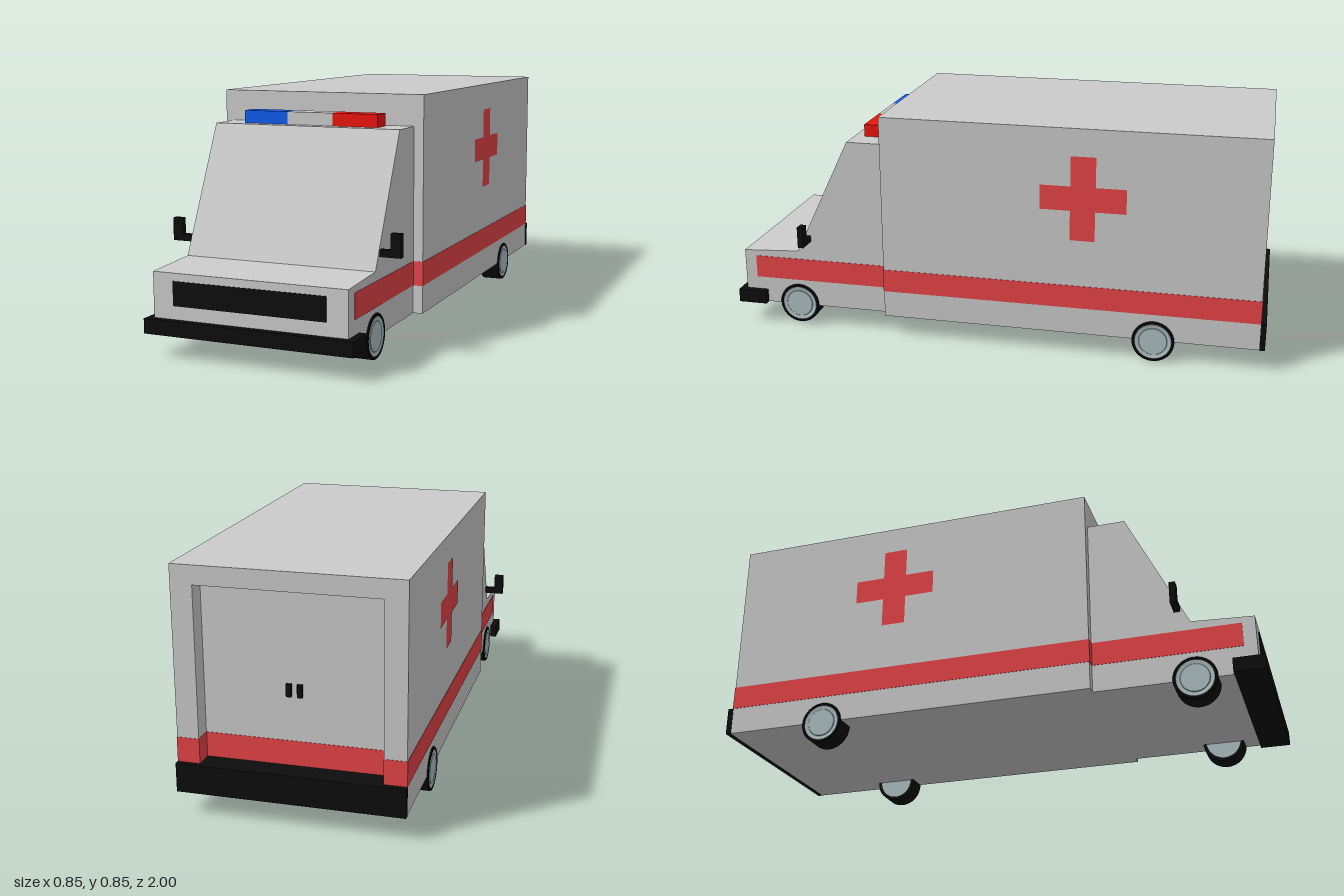
import * as THREE from 'three';

const mat = (color) => new THREE.MeshStandardMaterial({ color });

export function createModel() {
  const root = new THREE.Group();
  const grey = mat(0xcccccc), black = mat(0x0d0d0d), stripeRed = mat(0xe84448);
  const lampRed = mat(0xee150f), lampBlue = mat(0x0f5cee), steel = mat(0xafc0c3);

  const add = (name, geometry, material, parent = root) => {
    const mesh = new THREE.Mesh(geometry, material);
    mesh.name = name;
    parent.add(mesh);
    return mesh;
  };
  // Box given by its extents on each axis
  const box = (name, material, [x0, x1], [y0, y1], [z0, z1], parent) => {
    const mesh = add(name, new THREE.BoxGeometry(x1 - x0, y1 - y0, z1 - z0), material, parent);
    mesh.position.set((x0 + x1) / 2, (y0 + y1) / 2, (z0 + z1) / 2);
    return mesh;
  };
  const outline = (pts, Type = THREE.Shape) => new Type(pts.map(([x, y]) => new THREE.Vector2(x, y)));

  // Rear compartment, with a frame around the recessed doors
  box('rearCompartment', grey, [-0.385, 0.385], [0.08, 0.85], [-0.915, 0.405]);
  const frame = outline([[-0.385, 0.08], [0.385, 0.08], [0.385, 0.85], [-0.385, 0.85]]);
  frame.holes.push(outline([[-0.31, 0.17], [-0.31, 0.785], [0.31, 0.785], [0.31, 0.17]], THREE.Path));
  add('rearDoorFrame', new THREE.ExtrudeGeometry(frame, { depth: 0.065, bevelEnabled: false }), grey)
    .position.z = -0.98;

  // Cab: side profile extruded across the width
  const cabShape = outline([[-0.4, 0.08], [-0.4, 0.74], [-0.543, 0.74], [-0.757, 0.298],
    [-0.975, 0.286], [-0.975, 0.08]]);
  const cab = add('cab', new THREE.ExtrudeGeometry(cabShape, { depth: 0.7, bevelEnabled: false }), grey);
  cab.rotation.y = Math.PI / 2;
  cab.position.x = -0.35;

  // Grille and bumpers
  box('grille', black, [-0.275, 0.275], [0.176, 0.259], [0.96, 0.978]);
  box('frontBumper', black, [-0.375, 0.375], [0.079, 0.13], [0.89, 1]);
  box('rearBumper', black, [-0.387, 0.387], [0.08, 0.18], [-1, -0.98]);
  box('rearStep', black, [-0.31, 0.31], [0.16, 0.18], [-0.985, -0.914]);

  // Stripe wrapping the whole body
  const stripe = new THREE.Group();
  stripe.name = 'stripe';
  root.add(stripe);
  const band = [0.18, 0.266];
  box('compartmentStripe', stripeRed, [-0.3865, 0.3865], band, [-0.9165, 0.4065], stripe);
  box('cabStripe', stripeRed, [-0.3515, 0.3515], band, [0.4, 0.93], stripe);

  // Light bar
  box('blueLamp', lampBlue, [-0.255, -0.086], [0.74, 0.785], [0.435, 0.505]);
  box('lightBarCentre', grey, [-0.086, 0.086], [0.74, 0.785], [0.435, 0.505]);
  box('redLamp', lampRed, [0.086, 0.255], [0.74, 0.785], [0.435, 0.505]);

  // Side cross outline
  const a = 0.045, b = 0.155;
  const cross = new THREE.ShapeGeometry(outline([[a, a], [a, b], [-a, b], [-a, a], [-b, a], [-b, -a],
    [-a, -a], [-a, -b], [a, -b], [a, -a], [b, -a], [b, a]]));

  // Wheel profiles: radius, distance along the axle
  const lathe = (pts) => new THREE.LatheGeometry(pts.map(([r, y]) => new THREE.Vector2(r, y)), 32)
    .toNonIndexed();
  const flat = (g) => { g.computeVertexNormals(); return g; };
  const tyreGeo = flat(lathe([[0.064, -0.04], [0.077, -0.04], [0.077, 0.037], [0.074, 0.04],
    [0.068, 0.04], [0.066, 0.036]]));
  const rimGeo = flat(lathe([[0, -0.039], [0.068, -0.039], [0.068, 0.036], [0.066, 0.039],
    [0.052, 0.0365], [0.05, 0.039], [0, 0.0395]]));

  const wheel = (name, side, x, y, z) => {
    const g = new THREE.Group();
    g.name = name;
    g.position.set(side * x, y, z);
    g.rotation.z = -side * Math.PI / 2;
    add('tyre', tyreGeo, black, g);
    add('rim', rimGeo, steel, g);
    root.add(g);
  };

  // Parts mirrored left and right
  for (const side of [1, -1]) {
    const tag = side > 0 ? 'left' : 'right';
    const span = (p, q) => side > 0 ? [p, q] : [-q, -p];
    wheel(tag + 'FrontWheel', side, 0.316, 0.085, 0.76);
    wheel(tag + 'RearWheel', side, 0.351, 0.077, -0.605);
    box(tag + 'FrameStripe', stripeRed, span(0.3085, 0.3865), band, [-0.9815, -0.914], stripe);
    box(tag + 'MirrorArm', black, span(0.34, 0.4), [0.341, 0.365], [0.702, 0.724]);
    box(tag + 'Mirror', black, span(0.389, 0.425), [0.341, 0.421], [0.702, 0.724]);
    box(tag + 'DoorHandle', black, span(0.01, 0.027), [0.42, 0.463], [-0.927, -0.914]);
    const c = add(tag + 'Cross', cross, stripeRed);
    c.rotation.y = side * Math.PI / 2;
    c.position.set(side * 0.3865, 0.595, -0.34);
  }
  return root;
}
